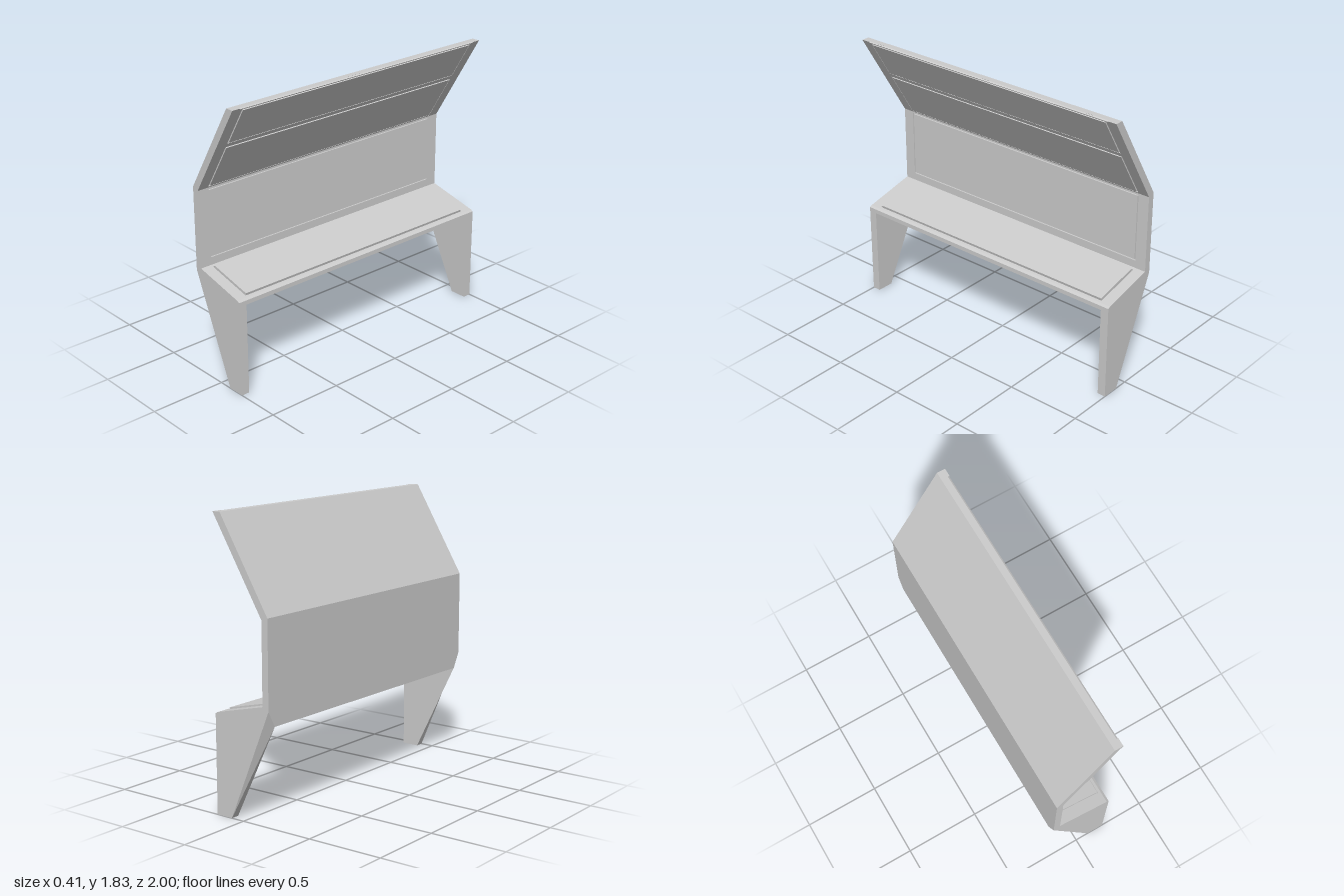
import * as THREE from 'three';

const material = new THREE.MeshStandardMaterial({ color: 0xcccccc, flatShading: true });
const SKIN = 0.01;      // depth of the panelled facing
const INNER = 0.945;    // inner face of the end frames
const PANEL = 0.925;    // half length of the panel openings
const GAP = 0.007;      // groove around each panel

function add(parent, name, geometry) {
  const mesh = new THREE.Mesh(geometry, material);
  mesh.name = name;
  parent.add(mesh);
  return mesh;
}

function extrude(points, z0, z1) {
  const shape = new THREE.Shape(points.map(([x, y]) => new THREE.Vector2(x, y)));
  const geo = new THREE.ExtrudeGeometry(shape, { depth: z1 - z0, bevelEnabled: false });
  return geo.translate(0, 0, z0);
}

function rect(Type, u0, u1, w) {
  return new Type([[u0, -w], [u1, -w], [u1, w], [u0, w]].map(([x, y]) => new THREE.Vector2(x, y)));
}

// Facing between two profile points: a frame with openings, and a panel in each opening
function facing(name, a, b, openings, raise) {
  const group = new THREE.Group();
  group.name = name;
  const A = new THREE.Vector3(a[0], a[1], 0);
  const along = new THREE.Vector3(b[0], b[1], 0).sub(A);
  const length = along.length();
  const across = new THREE.Vector3(0, 0, 1);
  along.normalize();
  const out = along.clone().cross(across);
  const basis = new THREE.Matrix4().makeBasis(along, across, out).setPosition(A);

  const frame = rect(THREE.Shape, 0, length, INNER);
  openings.forEach(([u0, u1]) => {
    frame.holes.push(rect(THREE.Path, u0 * length, u1 * length, PANEL));
    const panel = new THREE.BoxGeometry((u1 - u0) * length - 2 * GAP, 2 * (PANEL - GAP), SKIN + raise);
    panel.translate((u0 + u1) / 2 * length, 0, (raise - SKIN) / 2);
    add(group, 'panel', panel.applyMatrix4(basis));
  });
  const geo = new THREE.ExtrudeGeometry(frame, { depth: SKIN, bevelEnabled: false });
  add(group, 'panelFrame', geo.translate(0, 0, -SKIN).applyMatrix4(basis));
  return group;
}

// End frame: leg, seat end and back post in one outline, with the outer rear corner cut higher
function endFrame(side) {
  const outline = [
    [0.09, 0], [0.205, 0], [0.205, 0.628], [0.19, 0.637], [-0.16, 0.722], [-0.16, 1.23],
    [0.2, 1.825], [0.145, 1.825], [-0.205, 1.245], [-0.205, 0.6],
  ];
  const geo = side > 0 ? extrude(outline, INNER, 1) : extrude(outline, -1, -INNER);
  const p = geo.attributes.position;
  for (let i = 0; i < p.count; i++) {
    const rearCorner = p.getX(i) < -0.2 && Math.abs(p.getY(i) - 0.6) < 0.01;
    if (rearCorner && Math.abs(p.getZ(i)) > 0.99) p.setY(i, 0.7);
  }
  geo.computeVertexNormals();
  return geo;
}

export function createModel() {
  const bench = new THREE.Group();
  bench.name = 'bench';

  // Legs and posts at both ends
  add(bench, 'leftEndFrame', endFrame(-1));
  add(bench, 'rightEndFrame', endFrame(1));

  // Seat and back shell between the end frames
  add(bench, 'shell', extrude([
    [-0.205, 0.6], [0.205, 0.6], [0.205, 0.628], [0.19, 0.637], [0.188, 0.627], [-0.17, 0.714],
    [-0.17, 1.233], [0.188, 1.825], [0.145, 1.825], [-0.205, 1.245],
  ], -INNER, INNER));

  // Panelled facings: seat (front to rear), upright back, and overhanging canopy
  bench.add(facing('seat', [0.19, 0.637], [-0.16, 0.722], [[0.05, 0.94]], 0.009));
  bench.add(facing('backrest', [-0.16, 0.722], [-0.16, 1.23], [[0.1, 0.98]], 0));
  bench.add(facing('canopy', [-0.16, 1.23], [0.197, 1.82], [[0.015, 0.525], [0.57, 0.99]], 0.002));
  return bench;
}
